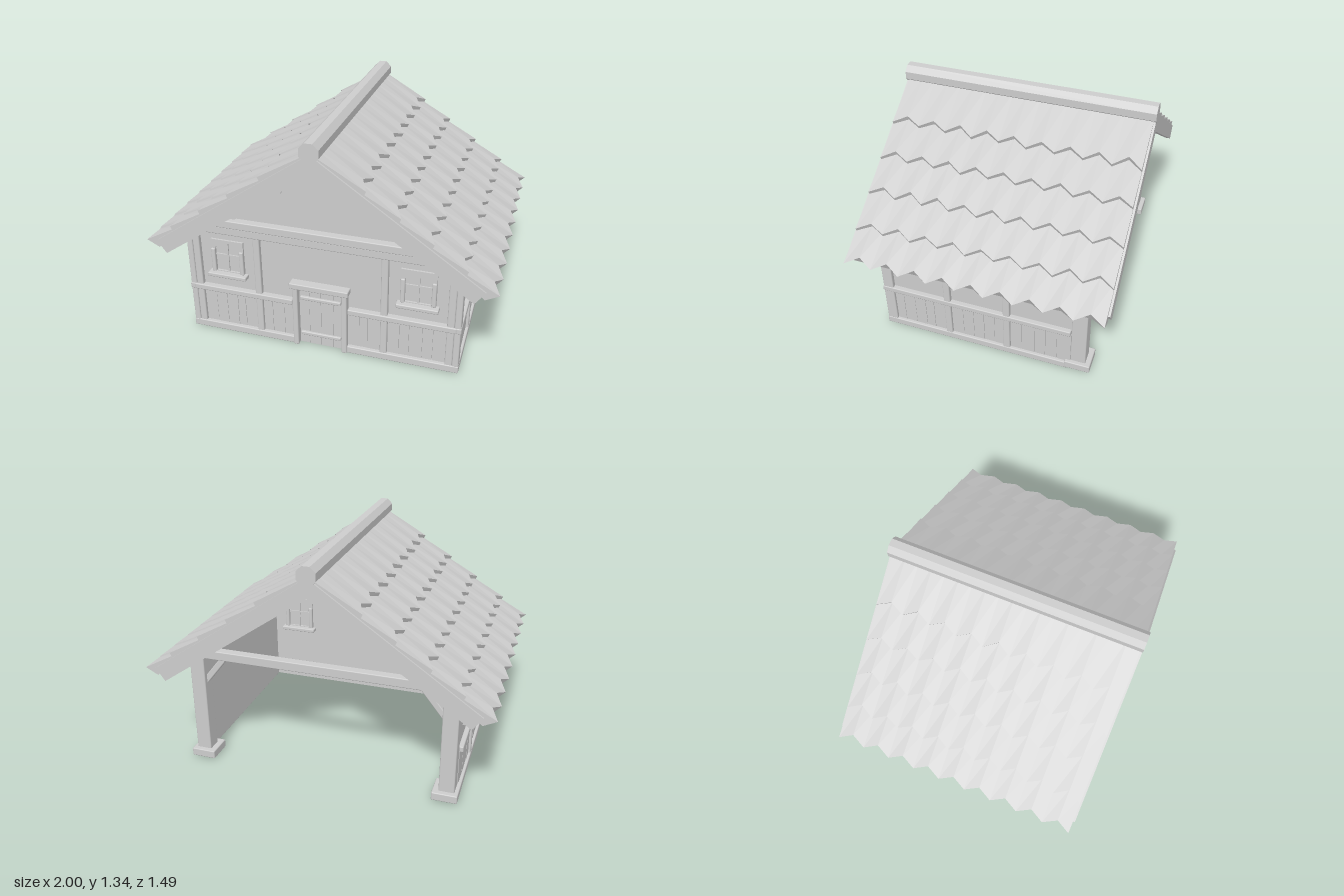
import * as THREE from 'three';
import { RoundedBoxGeometry } from 'three/addons/geometries/RoundedBoxGeometry.js';

const SLOPE = 0.69;          // roof fall per unit of width
const WALL_X = 0.785, WALL_Z = 0.6, WALL_T = 0.04, BACK_Z = -0.515;

export function createModel() {
  const clay = new THREE.MeshStandardMaterial({ color: 0xcccccc });
  clay.name = 'light grey';
  const model = new THREE.Group();
  model.name = 'house';

  const add = (name, geometry, parent = model) => {
    const mesh = new THREE.Mesh(geometry, clay);
    mesh.name = name;
    parent.add(mesh);
    return mesh;
  };
  // Chamfered beam and plain board, both given by their extents
  const beam = (name, x0, x1, y0, y1, z0, z1, parent) => {
    const w = x1 - x0, h = y1 - y0, d = z1 - z0;
    const r = Math.min(0.006, Math.min(w, h, d) * 0.3);
    const m = add(name, new RoundedBoxGeometry(w, h, d, 1, r), parent);
    m.position.set((x0 + x1) / 2, (y0 + y1) / 2, (z0 + z1) / 2);
    return m;
  };
  const board = (name, x0, x1, y0, y1, z0, z1, parent) => {
    const m = add(name, new THREE.BoxGeometry(x1 - x0, y1 - y0, z1 - z0), parent);
    m.position.set((x0 + x1) / 2, (y0 + y1) / 2, (z0 + z1) / 2);
    return m;
  };
  const plate = (name, points, z0, z1, parent) => {
    const shape = new THREE.Shape(points.map(p => new THREE.Vector2(p[0], p[1])));
    const g = new THREE.ExtrudeGeometry(shape, { depth: z1 - z0, bevelEnabled: false });
    g.translate(0, 0, z0);
    return add(name, g, parent);
  };
  const rand = n => { const s = Math.sin(n * 12.9898) * 43758.5453; return s - Math.floor(s); };

  // Front wall with gable, and side walls
  const eaveY = 1.225 - SLOPE * WALL_X;
  plate('frontWall', [[-WALL_X, 0.005], [WALL_X, 0.005], [WALL_X, eaveY], [0, 1.225], [-WALL_X, eaveY]],
    WALL_Z - WALL_T, WALL_Z);
  for (const s of [-1, 1]) {
    const a = s * WALL_X, b = s * (WALL_X - WALL_T);
    board('sideWall', Math.min(a, b), Math.max(a, b), 0.005, 0.69, BACK_Z, WALL_Z - WALL_T);
  }

  // Thin vertical planks of uneven width filling a bay between u0 and u1
  const planks = (u0, u1, seed, place) => {
    const n = Math.max(2, Math.round((u1 - u0) / 0.07));
    const cut = i => u0 + (u1 - u0) * (i + (i > 0 && i < n ? (rand(seed + i) - 0.5) * 0.35 : 0)) / n;
    for (let i = 0; i < n; i++) place(cut(i) + 0.001, cut(i + 1) - 0.001, 0.006 + 0.003 * rand(seed + i * 3));
  };

  // Front timber frame
  beam('frontSill', -0.81, -0.16, 0, 0.045, 0.58, 0.63);
  beam('frontSill', 0.16, 0.81, 0, 0.045, 0.58, 0.63);
  beam('frontTopBeam', -0.75, 0.75, 0.672, 0.722, 0.58, 0.635);
  beam('gableBeam', -0.64, 0.64, 0.722, 0.77, 0.58, 0.645);
  for (const s of [-1, 1]) {
    const mx = (name, x0, x1, ...r) => beam(name, Math.min(s * x0, s * x1), Math.max(s * x0, s * x1), ...r);
    mx('frontRail', 0.165, 0.785, 0.27, 0.305, 0.59, 0.635);
    mx('frontPost', 0.355, 0.395, 0.04, 0.675, 0.59, 0.625);
    mx('frontCornerPost', 0.73, 0.772, 0.04, 0.675, 0.59, 0.625);
    const bays = s > 0 ? [[0.16, 0.355], [0.395, 0.73]] : [[-0.355, -0.16], [-0.73, -0.395]];
    bays.forEach(([a, b], k) => planks(a, b, 10 * s + 50 * k + 100, (p, q, d) =>
      board('frontPlank', p, q, 0.04, 0.275, WALL_Z, WALL_Z + d)));

    // Side timber frame
    mx('sideSill', 0.745, 0.81, 0, 0.045, -0.5, 0.63);
    mx('sideRail', 0.775, 0.812, 0.27, 0.305, -0.513, 0.632);
    mx('sideTopBeam', 0.735, 0.805, 0.64, 0.69, -0.55, 0.6);
    const posts = [[-0.155, -0.115], [0.205, 0.245], [0.565, 0.628]];
    for (const [z0, z1] of posts) mx('sidePost', 0.772, 0.808, 0.04, 0.675, z0, z1);
    [[-0.515, -0.155], [-0.115, 0.205], [0.245, 0.565]].forEach(([a, b], k) =>
      planks(a, b, 20 * s + 70 * k + 300, (p, q, d) => {
        const x = s * WALL_X, y = s * (WALL_X + d);
        board('sidePlank', Math.min(x, y), Math.max(x, y), 0.04, 0.275, p, q);
      }));

    // Open back: post on a base block, with a brace up to the tie beam
    mx('backPost', 0.7, 0.79, 0.05, 0.715, -0.602, -0.513);
    mx('backPostBase', 0.665, 0.812, 0.008, 0.057, -0.632, -0.482);
    const brace = beam('backBrace', -0.125, 0.125, -0.018, 0.018, -0.02, 0.02);
    brace.position.set(s * 0.645, 0.59, -0.557);
    brace.rotation.z = -s * 0.9;
  }
  beam('backTieBeam', -0.75, 0.75, 0.655, 0.71, -0.585, -0.53);

  // Door
  const door = new THREE.Group();
  door.name = 'door';
  model.add(door);
  planks(-0.13, 0.13, 7, (p, q, d) => board('doorPlank', p, q, 0.004, 0.395, WALL_Z, WALL_Z + d, door));
  for (const s of [-1, 1]) beam('doorJamb', s * 0.147 - 0.016, s * 0.147 + 0.016, 0, 0.4, 0.59, 0.64, door);
  beam('doorLintel', -0.175, 0.175, 0.396, 0.432, 0.59, 0.655, door);
  for (const y of [0.065, 0.31]) beam('doorBatten', -0.122, 0.122, y, y + 0.023, 0.6, 0.622, door);

  // Arched window; local z = 0 is the outer face of the wall
  const makeWindow = (x, z, turn) => {
    const g = new THREE.Group();
    g.name = 'window';
    const frame = new THREE.Shape([[-0.1, 0.405], [0.1, 0.405], [0.1, 0.62], [-0.1, 0.62]]
      .map(p => new THREE.Vector2(p[0], p[1])));
    const hole = new THREE.Path();
    hole.moveTo(-0.075, 0.415);
    hole.lineTo(-0.075, 0.555);
    hole.absellipse(0, 0.555, 0.075, 0.048, Math.PI, 0, true);
    hole.lineTo(0.075, 0.415);
    hole.closePath();
    frame.holes.push(hole);
    for (const [z0, out] of [[0, 1], [-WALL_T - 0.012, -1]]) {
      const geo = new THREE.ExtrudeGeometry(frame, { depth: 0.012, bevelEnabled: false, curveSegments: 12 });
      geo.translate(0, 0, z0);
      add('windowFrame', geo, g);
      const face = out > 0 ? 0 : -WALL_T;
      const span = (a, b) => [face + out * a, face + out * b].sort((p, q) => p - q);
      beam('windowSill', -0.12, 0.12, 0.385, 0.41, ...span(-0.005, 0.048), g);
      for (const s of [-1, 1])
        beam('windowJamb', s * 0.087 - 0.013, s * 0.087 + 0.013, 0.408, 0.56, ...span(0, 0.022), g);
      board('windowMullion', -0.005, 0.005, 0.41, 0.603, ...span(0, 0.008), g);
      board('windowCrossbar', -0.076, 0.076, 0.515, 0.525, ...span(0, 0.008), g);
    }
    g.position.set(x, 0, z);
    g.rotation.y = turn;
    model.add(g);
  };
  makeWindow(-0.562, WALL_Z, 0);
  makeWindow(0.562, WALL_Z, 0);
  for (const z of [0.42, -0.3]) makeWindow(-WALL_X, z, -Math.PI / 2);

  // Roof deck, bargeboards and gable trim, all chevrons
  const chevron = (name, top, bottom, xTop, xBottom, z0, z1) => plate(name, [
    [0, top], [-xTop, top - SLOPE * xTop], [-xBottom, bottom - SLOPE * xBottom],
    [0, bottom], [xBottom, bottom - SLOPE * xBottom], [xTop, top - SLOPE * xTop]], z0, z1);
  chevron('roofDeck', 1.275, 1.225, 0.94, 0.92, -0.71, 0.71);
  chevron('frontBargeboard', 1.278, 1.165, 0.93, 0.875, 0.71, 0.742);
  chevron('backBargeboard', 1.278, 1.165, 0.93, 0.875, -0.742, -0.71);
  chevron('gableTrim', 1.225, 1.135, 0.66, 0.53, WALL_Z, 0.625);
  for (const s of [-1, 1]) {
    const line = (x, c) => [s * x, c - SLOPE * x];
    const pts = [line(0.2, 1.137), line(0.53, 1.137), line(0.5, 1.115), line(0.22, 1.115)];
    plate('gableBrace', s > 0 ? pts.reverse() : pts, WALL_Z, 0.615);
  }

  // One course of shingles: loops of four points swept along z with a toothed lower edge
  const shingleRow = (x0, x1, eave, seed) => {
    const n = 18, pos = [], loops = [];
    for (let j = 0; j <= n; j++) {
      const z = -0.73 + 1.46 * j / n;
      const inset = (j % 2 ? 0.04 : 0) + (eave ? 0 : 0.008 * rand(seed + j));
      const xe = x1 - inset, lift = 1.315 + (j % 2 ? 0.003 : 0);
      const xb = eave ? 0.925 : xe - 0.012;
      const base = eave ? 1.225 : 1.278;
      loops.push([
        [x0, 1.283 - SLOPE * x0, z], [xe, lift - SLOPE * xe, z],
        [xb, base - SLOPE * xb, z], [x0, 1.262 - SLOPE * x0, z]]);
    }
    const quad = (a, b, c, d) => pos.push(...a, ...b, ...c, ...a, ...c, ...d);
    for (let j = 0; j < n; j++)
      for (let k = 0; k < 4; k++) {
        const m = (k + 1) % 4;
        quad(loops[j][k], loops[j + 1][k], loops[j + 1][m], loops[j][m]);
      }
    const a = loops[0], b = loops[n];
    quad(a[0], a[1], a[2], a[3]);
    quad(b[3], b[2], b[1], b[0]);
    const g = new THREE.BufferGeometry();
    g.setAttribute('position', new THREE.Float32BufferAttribute(pos, 3));
    g.computeVertexNormals();
    return g;
  };
  const ends = [0.01, 0.3, 0.48, 0.66, 0.84, 1.0];
  for (const turn of [0, Math.PI]) {
    const side = new THREE.Group();
    side.name = 'shingles';
    side.rotation.y = turn;
    for (let i = 0; i < 5; i++)
      add('shingleRow', shingleRow(Math.max(0.01, ends[i] - 0.06), ends[i + 1], i === 4, i * 31 + turn), side);
    model.add(side);
  }

  // Ridge log on a narrow neck
  const ridge = new THREE.CylinderGeometry(0.058, 0.058, 1.488, 8).toNonIndexed();
  ridge.rotateY(Math.PI / 8);
  ridge.rotateX(Math.PI / 2);
  ridge.computeVertexNormals();
  add('ridgeLog', ridge).position.y = 1.286;
  board('ridgeNeck', -0.042, 0.042, 1.215, 1.28, -0.742, 0.742);

  return model;
}
